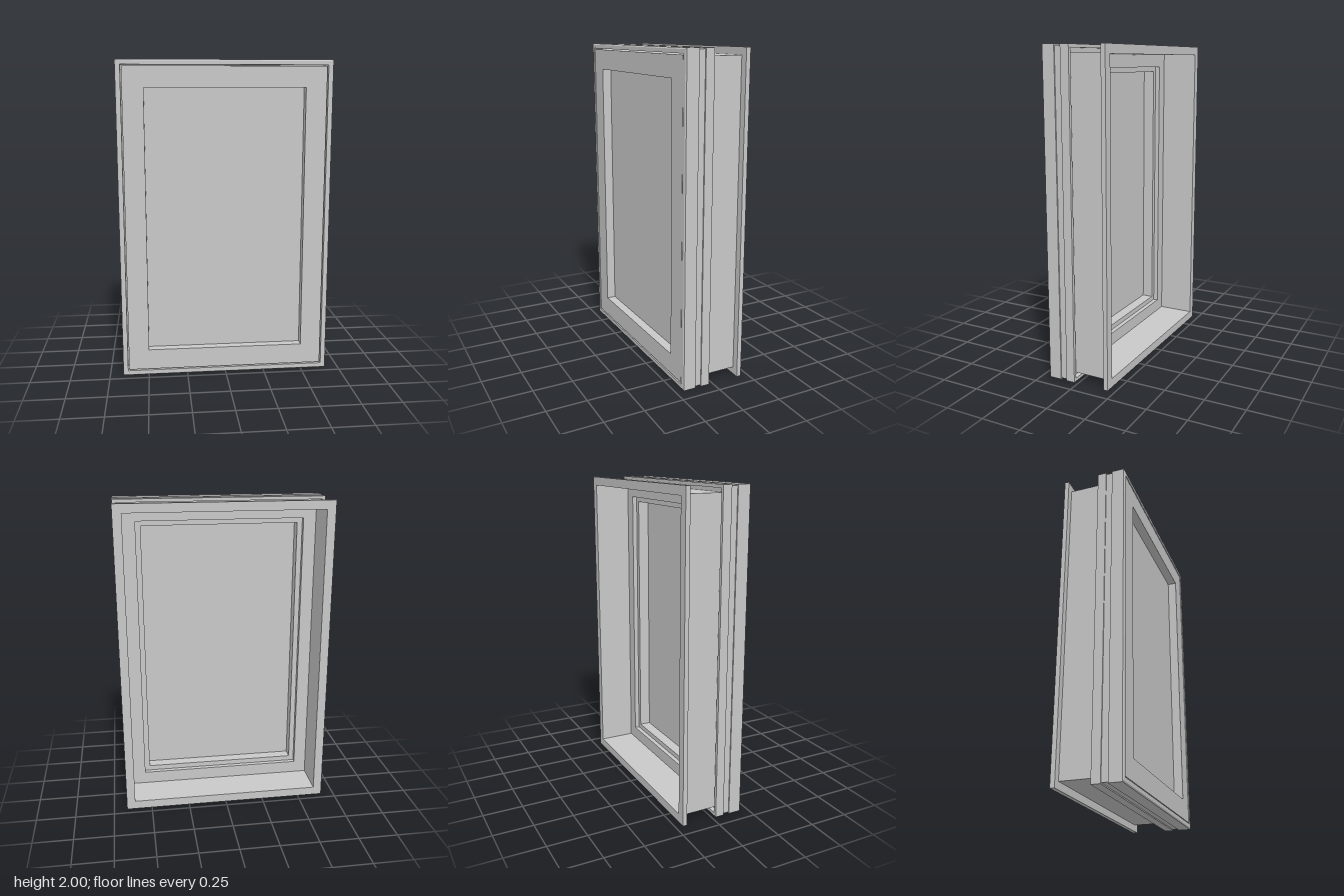
import * as THREE from 'three';

const HALF_W = 0.665, HEIGHT = 2;

// Sweeps a closed profile of [inset, z] points around the mitred rectangle.
// Profiles run inward along the front and outward along the back.
function ringGeometry(profile) {
  const corners = [[-1, -1], [1, -1], [1, 1], [-1, 1]];
  const at = ([sx, sy], [d, z]) => [sx * (HALF_W - d), HEIGHT / 2 + sy * (HEIGHT / 2 - d), z];
  const pos = [];
  for (let k = 0; k < 4; k++) {
    const c0 = corners[k], c1 = corners[(k + 1) % 4];
    profile.forEach((p, i) => {
      const q = profile[(i + 1) % profile.length];
      const a = at(c0, p), b = at(c1, p), c = at(c1, q), d = at(c0, q);
      pos.push(...a, ...b, ...c, ...a, ...c, ...d);
    });
  }
  const geo = new THREE.BufferGeometry();
  geo.setAttribute('position', new THREE.Float32BufferAttribute(pos, 3));
  geo.computeVertexNormals();
  return geo;
}

export function createModel() {
  const group = new THREE.Group();
  group.name = 'window';
  const grey = new THREE.MeshStandardMaterial({ color: 0xc8c8c8 });
  grey.name = 'light grey';

  const add = (name, geo) => {
    const mesh = new THREE.Mesh(geo, grey);
    mesh.name = name;
    group.add(mesh);
    return mesh;
  };

  // Outer frame: bevelled front lip, inner stop, rear channel and side groove
  add('outerFrame', ringGeometry([
    [0.008, 0.203], [0.031, 0.203], [0.031, 0.06], [0.135, 0.06],
    [0.135, 0.03], [0.045, 0.03], [0.045, 0.055], [0.02, 0.055],
    [0.02, 0.025], [0, 0.025], [0, 0.08], [0.007, 0.08],
    [0.007, 0.12], [0, 0.12], [0, 0.198],
  ]));

  // Sash, separated from the outer frame by a narrow gap
  add('sash', ringGeometry([[0.038, 0.2], [0.168, 0.2], [0.168, 0.06], [0.038, 0.06]]));

  // Thin-walled sleeve that lines the wall opening
  add('sleeve', ringGeometry([[0.045, 0.055], [0.055, 0.055], [0.055, -0.19], [0.045, -0.19]]));

  // Rear trim flange
  add('rearFlange', ringGeometry([[0, -0.177], [0.055, -0.177], [0.055, -0.205], [0, -0.205]]));

  // Glass pane, let into the sash
  const pane = add('pane', new THREE.BoxGeometry(1.01, 1.68, 0.009));
  pane.position.set(0, HEIGHT / 2, 0.137);

  return group;
}
